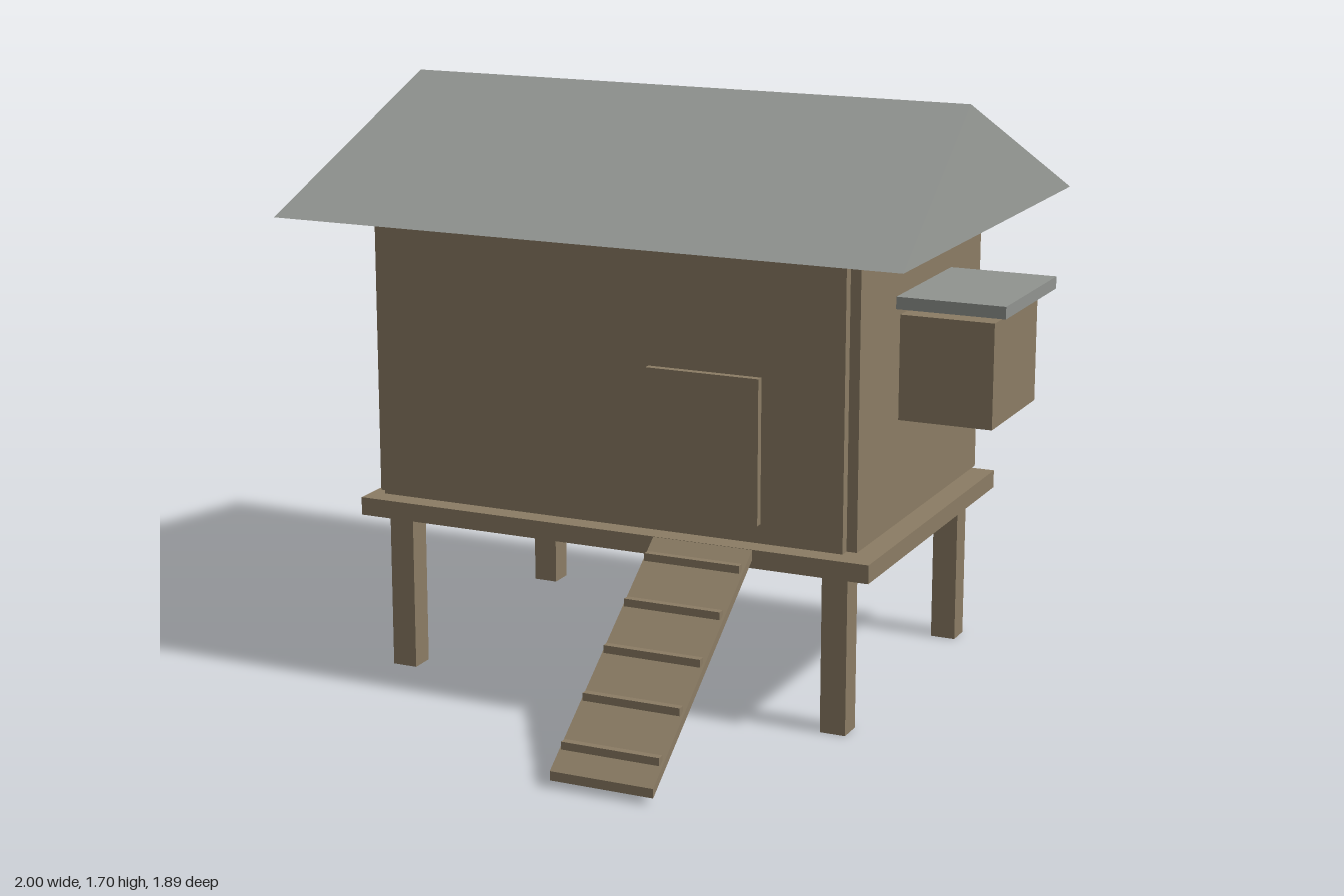
import * as THREE from 'three';

export function createModel() {
  const model = new THREE.Group();
  model.name = 'raisedCoop';

  const wood = new THREE.MeshStandardMaterial({ color: 0x8b7c64 });
  wood.name = 'weatheredWood';
  const roofing = new THREE.MeshStandardMaterial({ color: 0x919490, side: THREE.DoubleSide, flatShading: true });
  roofing.name = 'greyRoofing';

  // Box given by its limits on each axis
  function box(name, [x0, x1], [y0, y1], [z0, z1], material = wood) {
    const mesh = new THREE.Mesh(new THREE.BoxGeometry(x1 - x0, y1 - y0, z1 - z0), material);
    mesh.position.set((x0 + x1) / 2, (y0 + y1) / 2, (z0 + z1) / 2);
    mesh.name = name;
    model.add(mesh);
    return mesh;
  }

  // Legs and platform
  for (const x of [-0.775, 0.584]) {
    for (const z of [-0.716, 0.192]) {
      box('leg', [x, x + 0.075], [0, 0.46], [z, z + 0.075]);
    }
  }
  box('platform', [-0.85, 0.733], [0.46, 0.513], [-0.753, 0.303]);

  // Four wall panels meeting at their inner corners
  const wallY = [0.532, 1.363];
  box('frontWall', [-0.774, 0.655], wallY, [0.267, 0.297]);
  box('backWall', [-0.774, 0.655], wallY, [-0.744, -0.714]);
  box('leftWall', [0.655, 0.685], wallY, [-0.714, 0.267]);
  box('rightWall', [-0.804, -0.774], wallY, [-0.714, 0.267]);

  // Door, nest box and its lid
  box('door', [0.075, 0.413], [0.587, 1.0], [0.297, 0.319]);
  box('nestBox', [0.685, 0.958], [0.833, 1.133], [-0.415, -0.037]);
  box('nestBoxLid', [0.685, 1.0], [1.155, 1.19], [-0.453, -0.003], roofing);

  // Hollow roof: two slopes and two leaning gable ends, open underneath
  const eave = 1.362, top = 1.698, zRidge = -0.228;
  const a = [-1, eave, 0.487], b = [0.883, eave, 0.487];
  const c = [0.883, eave, -0.944], d = [-1, eave, -0.944];
  const e = [-0.926, top, zRidge], f = [0.809, top, zRidge];
  const faces = [a, b, f, a, f, e, c, d, e, c, e, f, b, c, f, d, a, e];
  const roofGeometry = new THREE.BufferGeometry();
  roofGeometry.setAttribute('position', new THREE.Float32BufferAttribute(faces.flat(), 3));
  roofGeometry.computeVertexNormals();
  const roof = new THREE.Mesh(roofGeometry, roofing);
  roof.name = 'roof';
  model.add(roof);

  // Sloping ramp: side profile drawn as (-z, y), then turned to run along x
  const profile = new THREE.Shape([
    new THREE.Vector2(-0.944, 0.02), new THREE.Vector2(-0.302, 0.485),
    new THREE.Vector2(-0.302, 0.513), new THREE.Vector2(-0.944, 0.046),
  ]);
  const ramp = new THREE.Mesh(new THREE.ExtrudeGeometry(profile, { depth: 0.3, bevelEnabled: false }), wood);
  ramp.rotation.y = Math.PI / 2;
  ramp.position.x = 0.092;
  ramp.name = 'ramp';
  model.add(ramp);

  // Rungs across the ramp
  for (let i = 0; i < 5; i++) {
    const z = 0.368 + i * 0.1285, y = 0.476 - i * 0.0938;
    box('rung', [0.1, 0.385], [y - 0.011, y + 0.011], [z - 0.011, z + 0.011]);
  }

  return model;
}
